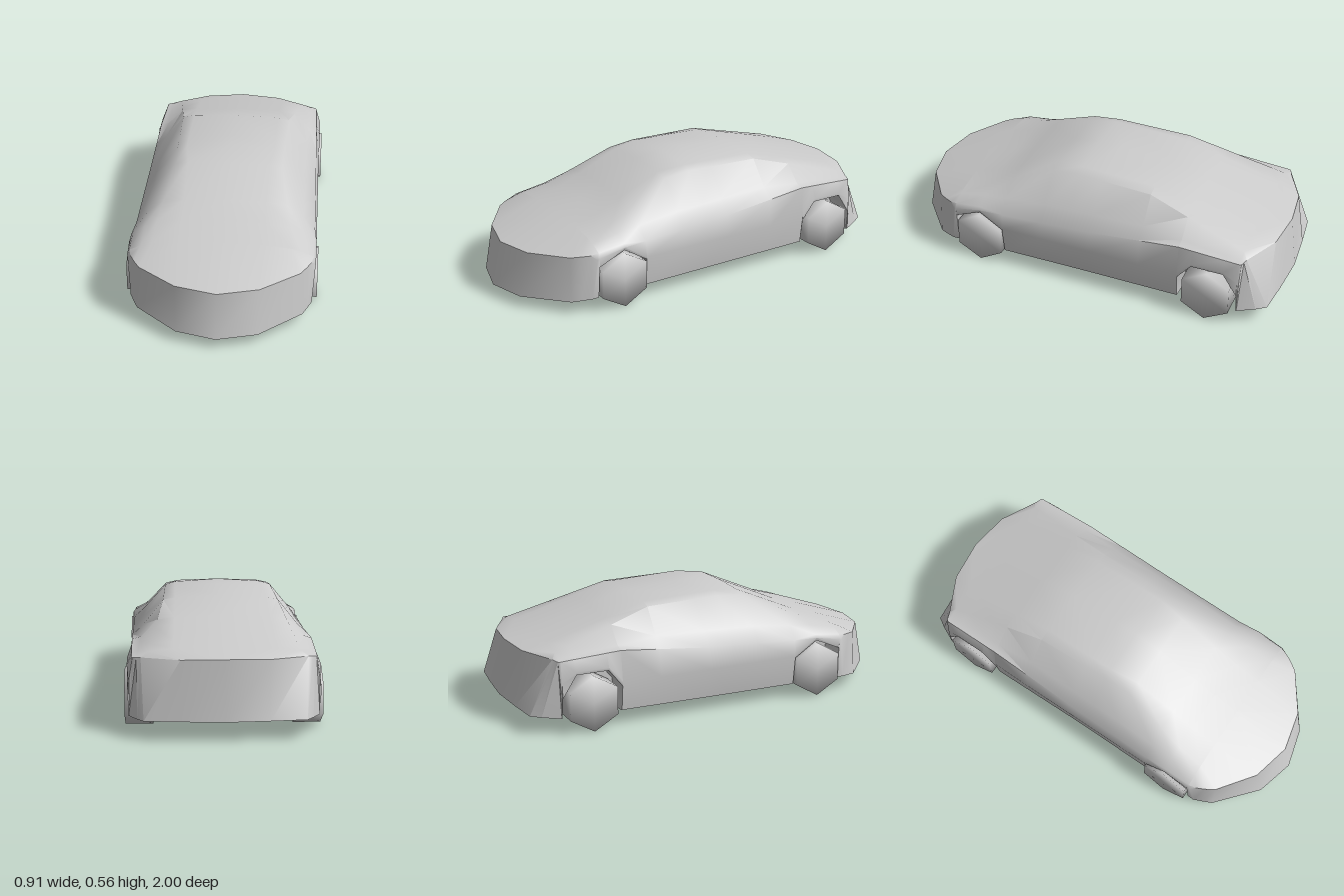
import * as THREE from 'three';
import { mergeVertices, toCreasedNormals } from 'three/addons/utils/BufferGeometryUtils.js';

const material = new THREE.MeshStandardMaterial({ color: 0xcccccc });

// Straight-line reading of a key line [z, a, b] at a given z (z falls from nose to tail)
function sample(keys, z) {
  if (z >= keys[0][0]) return keys[0].slice(1);
  for (let i = 1; i < keys.length; i++) {
    const [p, q] = [keys[i - 1], keys[i]];
    if (z >= q[0]) {
      const t = (p[0] - z) / (p[0] - q[0]);
      return p.slice(1).map((v, k) => v + (q[k + 1] - v) * t);
    }
  }
  return keys[keys.length - 1].slice(1);
}

// Lengthwise key lines, each [z, x, y]
const floorEdge = [[0.66, 0.43, 0.07], [0, 0.42, 0.068], [-0.83, 0.43, 0.078]];
const waist = [[0.655, 0.446, 0.275], [0.52, 0.446, 0.3], [0.4, 0.446, 0.22], [-0.52, 0.442, 0.215],
  [-0.6, 0.446, 0.3], [-0.76, 0.444, 0.3], [-0.83, 0.436, 0.25]];
const shoulder = [[0.655, 0.435, 0.3], [0.52, 0.436, 0.315], [0.4, 0.436, 0.3], [-0.07, 0.432, 0.325],
  [-0.53, 0.425, 0.37], [-0.83, 0.42, 0.352]];
const windowBase = [[0.655, 0.38, 0.325], [0.52, 0.38, 0.35], [0.19, 0.38, 0.385], [-0.33, 0.375, 0.4],
  [-0.83, 0.395, 0.358]];
const roofEdge = [[0.655, 0.33, 0.338], [0.52, 0.32, 0.376], [0.19, 0.265, 0.518], [0.05, 0.268, 0.532],
  [-0.33, 0.278, 0.522], [-0.83, 0.345, 0.376]];
const roofSide = [[0.655, 0.2, 0.352], [0.52, 0.2, 0.39], [0.19, 0.2, 0.532], [0.05, 0.22, 0.547],
  [-0.33, 0.22, 0.533], [-0.83, 0.23, 0.39]];
const spine = [[0.655, 0, 0.357], [0.52, 0, 0.395], [0.19, 0, 0.538], [0.05, 0, 0.561],
  [-0.33, 0, 0.542], [-0.83, 0, 0.401]];

// Half cross-section from floor centre round to roof centre; arch = height of the wheel opening
function section(z, arch) {
  const [ex, ey] = sample(floorEdge, z);
  const low = arch
    ? [[0.31, ey], [0.31, arch], [0.442, arch]]
    : [[ex - 0.035, ey - 0.006], [ex - 0.015, ey - 0.003], [ex, ey]];
  const upper = [waist, shoulder, windowBase, roofEdge, roofSide, spine].map((line) => sample(line, z));
  return [[0, ey - 0.01], [0.2, ey - 0.009], ...low, ...upper].map(([x, y]) => [x, y, z]);
}

// Bowed end sections
const nose = [[0, 0.05, 1], [0.19, 0.052, 0.95], [0.39, 0.06, 0.78], [0.41, 0.065, 0.74], [0.432, 0.07, 0.69],
  [0.443, 0.27, 0.665], [0.425, 0.29, 0.69], [0.405, 0.287, 0.73], [0.375, 0.281, 0.775], [0.195, 0.27, 0.905], [0, 0.264, 0.95]];
const tail = [[0, 0.09, -1], [0.2, 0.09, -0.985], [0.365, 0.09, -0.967], [0.395, 0.087, -0.92], [0.435, 0.08, -0.835],
  [0.432, 0.25, -0.837], [0.415, 0.352, -0.84], [0.398, 0.353, -0.846], [0.378, 0.355, -0.853], [0.2, 0.361, -0.942], [0, 0.367, -0.965]];

function bodyGeometry() {
  // Stations [z, arch height]; doubled z makes the end walls of a wheel opening
  const stations = [[0.655], [0.654, 0.23], [0.52, 0.286], [0.401, 0.21], [0.4], [0.19], [0.05], [-0.07],
    [-0.33], [-0.53], [-0.531, 0.2], [-0.6, 0.286], [-0.76, 0.286], [-0.829, 0.18], [-0.83]];
  const halves = [nose, ...stations.map(([z, arch]) => section(z, arch)), tail];
  const rings = halves.map((h) => [...h, ...h.slice(1, -1).reverse().map(([x, y, z]) => [-x, y, z])]);
  const n = rings[0].length;
  const positions = [];

  const tri = (...corners) => {
    const [a, b, c] = corners.map((p) => new THREE.Vector3(...p));
    if (b.clone().sub(a).cross(c.clone().sub(a)).length() > 1e-7) positions.push(...corners.flat());
  };
  const quad = (a, b, c, d) => { tri(a, b, c); tri(a, c, d); };

  // Skin
  for (let s = 0; s < rings.length - 1; s++) {
    for (let r = 0; r < n; r++) {
      const k = (r + 1) % n;
      const [p, q] = [rings[s], rings[s + 1]];
      // Mirror the diagonal so both sides match
      if (r < n / 2) quad(p[r], q[r], q[k], p[k]);
      else quad(q[r], q[k], p[k], p[r]);
    }
  }
  // Nose and tail panels
  for (let i = 0; i < 5; i++) {
    const ids = [i, i + 1, 9 - i, 10 - i];
    const mirrored = ids.map((j) => (n - j) % n).reverse();
    for (const set of [ids, mirrored]) {
      quad(...set.map((j) => nose && rings[0][j]));
      quad(...set.map((j) => rings[rings.length - 1][j]).reverse());
    }
  }
  const geometry = new THREE.BufferGeometry();
  geometry.setAttribute('position', new THREE.Float32BufferAttribute(positions, 3));
  return toCreasedNormals(geometry, 0.75);
}

// Six-sided wheel with softly shaded faces
function wheelGeometry() {
  const g = new THREE.CylinderGeometry(0.137, 0.137, 0.13, 6).rotateY(Math.PI / 6).rotateZ(Math.PI / 2);
  g.deleteAttribute('normal');
  g.deleteAttribute('uv');
  const soft = mergeVertices(g, 1e-4);
  soft.computeVertexNormals();
  return soft;
}

export function createModel() {
  const car = new THREE.Group();
  car.name = 'car';

  const body = new THREE.Mesh(bodyGeometry(), material);
  body.name = 'body';
  car.add(body);

  const wheel = wheelGeometry();
  for (const [end, z] of [['front', 0.525], ['rear', -0.68]]) {
    for (const [side, sign] of [['Left', 1], ['Right', -1]]) {
      const mesh = new THREE.Mesh(wheel, material);
      mesh.name = `${end}${side}Wheel`;
      mesh.position.set(sign * 0.39, 0.137, z);
      car.add(mesh);
    }
  }
  return car;
}
